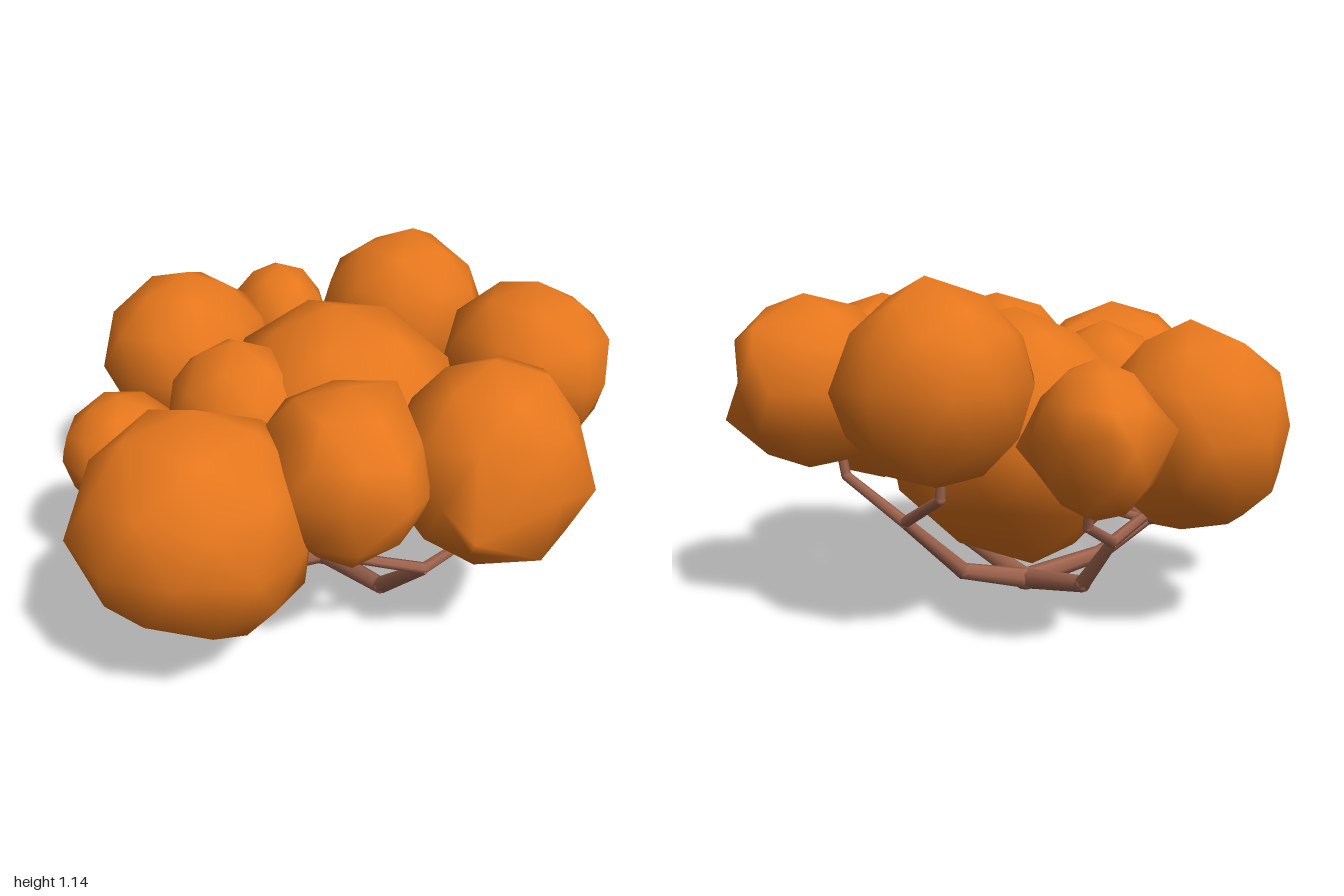
import * as THREE from 'three';
import { mergeVertices } from 'three/addons/utils/BufferGeometryUtils.js';

const leafOrange = new THREE.MeshStandardMaterial({ color: 0xe6771d });
leafOrange.name = 'leaf orange';
const barkBrown = new THREE.MeshStandardMaterial({ color: 0xa0644e });
barkBrown.name = 'bark brown';

// Small seeded generator for the uneven leaf clumps
function seeded(seed) {
  let s = seed;
  return () => {
    s = (s * 16807) % 2147483647;
    return s / 2147483647;
  };
}

// Smooth-shaded clump fitted to a centre and size; the nearest points are pulled out to the given corners
function clump(name, centre, size, seed, corners) {
  const rand = seeded(seed * 7919 + 13);
  rand();
  let geo = new THREE.IcosahedronGeometry(1, 1);
  geo.deleteAttribute('uv');
  geo.deleteAttribute('normal');
  geo = mergeVertices(geo, 1e-4);
  geo.rotateZ(-Math.atan(0.618)).rotateY(rand() * 6);
  const pos = geo.attributes.position;
  const v = new THREE.Vector3();
  for (let i = 0; i < pos.count; i++) {
    v.fromBufferAttribute(pos, i).multiplyScalar(0.97 + 0.06 * rand());
    pos.setXYZ(i, v.x, v.y, v.z);
  }
  geo.center();
  geo.computeBoundingBox();
  const box = geo.boundingBox.getSize(new THREE.Vector3());
  geo.scale(size[0] / box.x, size[1] / box.y, size[2] / box.z);
  const moved = new Set();
  for (const corner of corners) {
    const target = new THREE.Vector3(...corner).sub(new THREE.Vector3(...centre));
    let best = -1;
    let bestAngle = Infinity;
    for (let i = 0; i < pos.count; i++) {
      const angle = v.fromBufferAttribute(pos, i).angleTo(target);
      if (!moved.has(i) && angle < bestAngle) {
        best = i;
        bestAngle = angle;
      }
    }
    moved.add(best);
    pos.setXYZ(best, target.x, target.y, target.z);
  }
  geo.computeVertexNormals();
  const mesh = new THREE.Mesh(geo, leafOrange);
  mesh.name = name;
  mesh.position.set(...centre);
  return mesh;
}

// Tapering six-sided limb through points, with knuckles at the bends
function limb(name, points, r0, r1) {
  const group = new THREE.Group();
  group.name = name;
  const pts = points.map((p) => new THREE.Vector3(...p));
  const up = new THREE.Vector3(0, 1, 0);
  const last = pts.length - 1;
  const radius = (i) => r0 + ((r1 - r0) * i) / last;
  for (let i = 0; i < last; i++) {
    const dir = pts[i + 1].clone().sub(pts[i]);
    const geo = new THREE.CylinderGeometry(radius(i + 1), radius(i), dir.length(), 6);
    const piece = new THREE.Mesh(geo, barkBrown);
    piece.name = 'limbSection';
    piece.position.copy(pts[i]).addScaledVector(dir, 0.5);
    piece.quaternion.setFromUnitVectors(up, dir.normalize());
    group.add(piece);
    if (i > 0) {
      const joint = new THREE.Mesh(new THREE.IcosahedronGeometry(radius(i), 1), barkBrown);
      joint.name = 'limbJoint';
      joint.position.copy(pts[i]);
      group.add(joint);
    }
  }
  return group;
}

export function createModel() {
  const model = new THREE.Group();
  model.name = 'autumnBush';

  // Leaf clumps: name, centre, size, seed, corners
  const addClump = (...args) => model.add(clump(...args));
  addClump('middleClump', [0.11, 0.59, -0.02], [0.86, 0.84, 0.92], 3, [
    [-0.1, 0.17, 0.08], [0.15, 0.165, -0.18], [0.29, 0.21, 0.05], [0.45, 0.36, 0],
    [-0.28, 0.38, -0.1], [0.1, 0.36, -0.42], [0.1, 1.02, -0.02]]);
  addClump('bigRightClump', [-0.63, 0.6, 0.295], [0.73, 0.77, 0.74], 4, [
    [-0.83, 0.93, 0.25], [-0.62, 0.99, 0.3], [-0.4, 0.89, 0.3], [-1, 0.59, 0.14],
    [-0.83, 0.31, 0.3], [-0.61, 0.21, 0.3], [-0.64, 0.6, 0.67], [-0.85, 0.6, 0.55],
    [-0.82, 0.62, -0.08], [-0.5, 0.62, -0.08]]);
  addClump('backClump', [-0.15, 0.66, -0.63], [0.61, 0.66, 0.6], 5, [
    [-0.15, 0.66, -0.94], [-0.46, 0.66, -0.71], [-0.33, 0.68, -0.86], [-0.15, 0.32, -0.58],
    [-0.15, 1, -0.6], [-0.15, 0.38, -0.78], [0.14, 0.68, -0.47], [0.12, 0.68, -0.76],
    [-0.34, 0.68, -0.35]]);
  addClump('smallBackClump', [0.28, 0.675, -0.655], [0.37, 0.48, 0.42], 6, [
    [0.15, 0.72, -0.86], [0.41, 0.72, -0.86], [0.46, 0.68, -0.72], [0.42, 0.64, -0.45],
    [0.13, 0.64, -0.48], [0.1, 0.68, -0.7]]);
  addClump('tallLeftClump', [0.555, 0.815, -0.225], [0.6, 0.63, 0.59], 7, [
    [0.57, 1.14, -0.2], [0.55, 1.05, -0.39], [0.53, 0.82, -0.53], [0.85, 0.82, -0.33],
    [0.85, 0.8, -0.1], [0.67, 0.82, 0.08], [0.55, 0.49, -0.22], [0.25, 0.82, -0.32],
    [0.33, 0.82, -0.08]]);
  addClump('leftClump', [0.7, 0.78, 0.3], [0.58, 0.57, 0.59], 8, [
    [0.72, 1.07, 0.3], [0.9, 0.97, 0.3], [1, 0.78, 0.2], [0.98, 0.67, 0.36],
    [0.69, 0.78, 0.6], [0.72, 0.49, 0.3], [0.86, 0.78, 0.52], [0.5, 0.78, 0.53]]);
  addClump('frontClump', [0.235, 0.685, 0.62], [0.62, 0.7, 0.62], 9, [
    [-0.03, 0.62, 0.88], [0.2, 0.87, 0.92], [0.2, 0.5, 0.93], [0.43, 0.66, 0.91],
    [0.54, 0.64, 0.56], [0.24, 1.04, 0.62], [0.45, 0.95, 0.62], [0.24, 0.33, 0.64],
    [0.52, 0.68, 0.78], [-0.08, 0.66, 0.62], [0.45, 0.68, 0.33], [0.15, 0.68, 0.32]]);
  addClump('frontRightClump', [-0.235, 0.75, 0.5], [0.51, 0.56, 0.58], 10, [
    [-0.21, 0.76, 0.8], [-0.41, 0.93, 0.5], [-0.2, 1.03, 0.5], [-0.49, 0.73, 0.52],
    [-0.33, 0.47, 0.5], [-0.37, 0.76, 0.71], [-0.4, 0.76, 0.29], [-0.2, 0.76, 0.2],
    [-0.04, 1, 0.5]]);
  addClump('innerClump', [-0.25, 0.69, -0.07], [0.46, 0.5, 0.54], 11, [
    [-0.25, 0.96, -0.08]]);
  addClump('smallRightClump', [-0.565, 0.52, -0.335], [0.43, 0.43, 0.43], 12, [
    [-0.53, 0.52, -0.55], [-0.78, 0.52, -0.39], [-0.76, 0.52, -0.2]]);

  // Four main branches spreading from the root
  const root = [0.03, 0.042, 0.01];
  const mains = [
    ['leftBranch', [0.3, 0.12, 0.01], [0.53, 0.33, 0.01]],
    ['frontBranch', [0.035, 0.11, 0.36], [0.03, 0.33, 0.59]],
    ['backBranch', [0.03, 0.1, -0.3], [0.03, 0.28, -0.45]],
    ['rightBranch', [-0.3, 0.08, -0.01], [-0.54, 0.17, -0.01]],
  ];
  for (const [name, mid, fork] of mains) model.add(limb(name, [root, mid, fork], 0.038, 0.021));

  // Twigs from each fork up into the clumps
  const twigs = [
    [[0.53, 0.33, 0.01], [0.6, 0.45, 0.27], [0.62, 0.6, 0.29]],
    [[0.53, 0.33, 0.01], [0.54, 0.45, -0.22], [0.54, 0.6, -0.24]],
    [[0.03, 0.33, 0.59], [-0.22, 0.44, 0.53], [-0.23, 0.58, 0.52]],
    [[0.03, 0.33, 0.59], [0.16, 0.38, 0.61], [0.22, 0.5, 0.62]],
    [[0.03, 0.28, -0.45], [0.22, 0.38, -0.55], [0.25, 0.55, -0.6]],
    [[0.03, 0.28, -0.45], [-0.12, 0.35, -0.45], [-0.15, 0.5, -0.5]],
    [[-0.54, 0.17, -0.01], [-0.57, 0.2, 0.15], [-0.58, 0.36, 0.2]],
    [[-0.54, 0.17, -0.01], [-0.58, 0.22, -0.2], [-0.58, 0.42, -0.25]],
    [[-0.54, 0.17, -0.01], [-0.27, 0.27, -0.03], [-0.25, 0.5, -0.03]],
  ];
  for (const path of twigs) model.add(limb('twig', path, 0.02, 0.014));

  // Root knot
  const knot = new THREE.Mesh(new THREE.IcosahedronGeometry(0.05, 1), barkBrown);
  knot.name = 'rootKnot';
  knot.scale.y = 0.84;
  knot.position.set(0.03, 0.042, 0.01);
  model.add(knot);

  return model;
}
